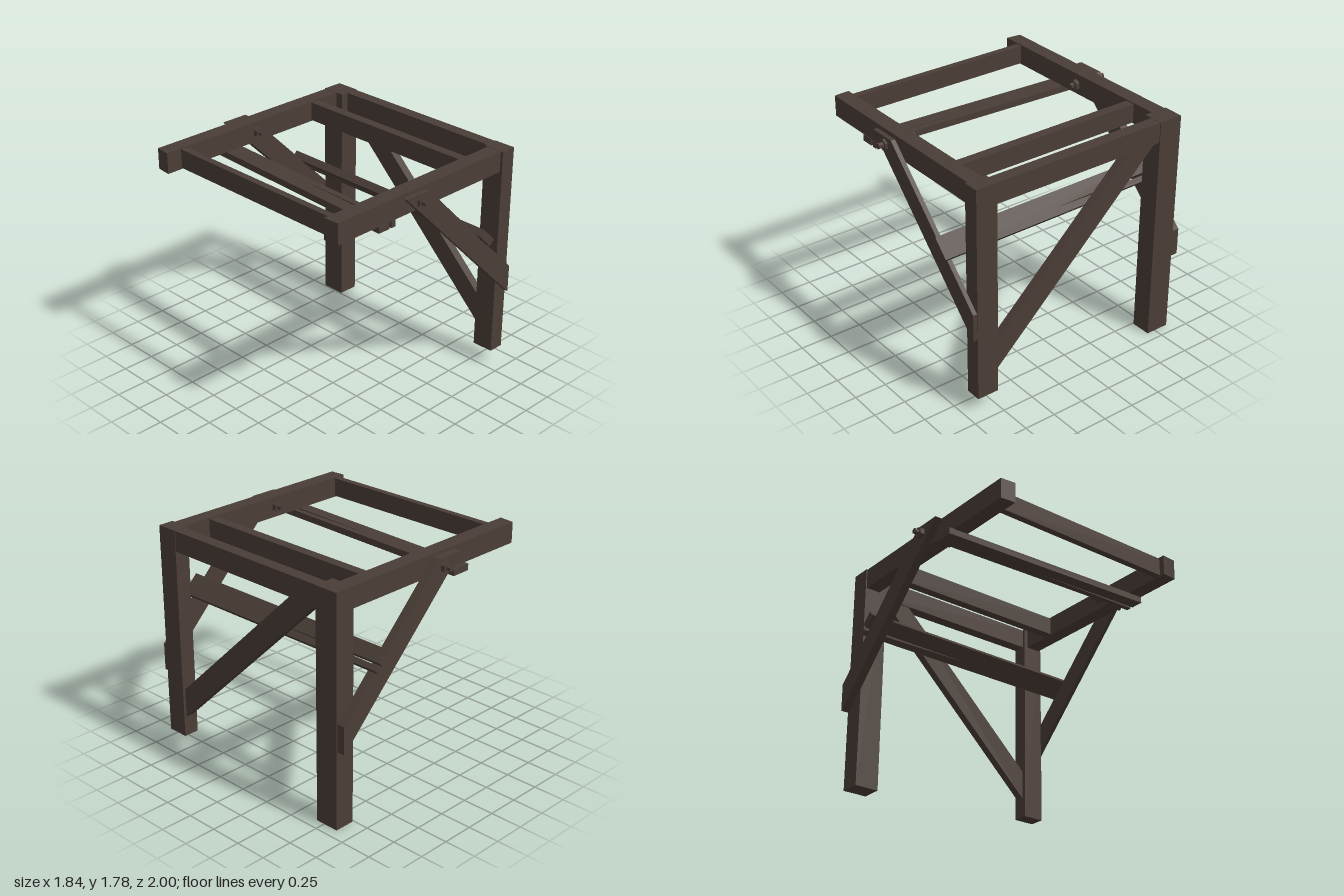
import * as THREE from 'three';

export function createModel() {
  const model = new THREE.Group();
  const wood = new THREE.MeshStandardMaterial({ color: 0x4a3d36 });
  wood.name = 'darkWood';

  function add(name, geometry, parent = model) {
    const mesh = new THREE.Mesh(geometry, wood);
    mesh.name = name;
    parent.add(mesh);
    return mesh;
  }

  // Box given by its limits on each axis
  function beam(name, [x0, x1], [y0, y1], [z0, z1]) {
    const mesh = add(name, new THREE.BoxGeometry(x1 - x0, y1 - y0, z1 - z0));
    mesh.position.set((x0 + x1) / 2, (y0 + y1) / 2, (z0 + z1) / 2);
  }

  // Flat outline with a thickness
  function slab(points, depth) {
    const shape = new THREE.Shape(points.map(([x, y]) => new THREE.Vector2(x, y)));
    return new THREE.ExtrudeGeometry(shape, { depth, bevelEnabled: false });
  }

  // Outline in x and z, hanging down from a given top height
  function plank(name, points, top, thickness, parent) {
    const mesh = add(name, slab(points, thickness), parent);
    mesh.rotation.x = Math.PI / 2;
    mesh.position.y = top;
  }

  // Posts
  beam('frontPost', [0.795, 0.917], [0.12, 1.78], [0.74, 0.91]);
  beam('backPost', [0.76, 0.92], [0, 1.78], [-0.87, -0.68]);

  // Top frame: two long beams with skewed ends, side beam and joists
  plank('frontBeam', [[-0.84, 0.77], [0.9, 0.77], [0.9, 0.89], [-0.832, 0.89]], 1.778, 0.16);
  plank('backBeam', [[-0.91, -0.862], [0.9, -0.862], [0.9, -0.743], [-0.922, -0.743]], 1.778, 0.16);
  beam('sideBeam', [0.82, 0.913], [1.62, 1.778], [-0.8, 0.8]);
  beam('outerJoist', [-0.795, -0.742], [1.625, 1.77], [-0.76, 0.79]);
  beam('innerJoist', [0.492, 0.567], [1.625, 1.77], [-0.76, 0.79]);

  // Diagonal braces on the outer faces of the frame
  const braceOutline = [[-0.24, 1.76], [0.905, 0.617], [0.912, 0.617], [0.912, 0.83], [-0.02, 1.76]];
  add('frontBrace', slab(braceOutline, 0.035)).position.z = 0.907;
  add('backBrace', slab(braceOutline, 0.065)).position.z = -0.934;

  // Diagonal brace between the posts
  const sideBrace = add('sideBrace',
    slab([[0.75, 0.27], [0.75, 0.5], [-0.43, 1.63], [-0.67, 1.63]], 0.065));
  sideBrace.rotation.y = -Math.PI / 2;
  sideBrace.position.x = 0.895;

  // Split plank under the frame
  plank('lowerPlank', [[-0.37, -0.9], [-0.215, -0.9], [-0.295, 0.895], [-0.335, 0.895],
    [-0.31, -0.03], [-0.355, 0.895], [-0.455, 0.895]], 1.62, 0.05);

  // Split plank lying on the sloping braces
  const slope = new THREE.Group();
  slope.name = 'slopingPlankGroup';
  slope.position.set(0.577, 1.2, 0);
  slope.rotation.z = -Math.PI / 4;
  model.add(slope);
  plank('slopingPlank', [[-0.09, -0.965], [0.02, -0.965], [0.03, 0], [0.04, -0.965],
    [0.08, -0.965], [0.09, 0.98], [-0.08, 0.98]], 0.03, 0.06, slope);

  // Bolts: a rod with a hexagonal nut on each side
  function bolt(name, x, y, [z0, z1], nuts) {
    const group = new THREE.Group();
    group.name = name;
    group.position.set(x, y, 0);
    model.add(group);
    const rod = (part, radius, a, b) => {
      const geometry = new THREE.CylinderGeometry(radius, radius, b - a, 6).toNonIndexed();
      geometry.computeVertexNormals();
      const mesh = add(part, geometry, group);
      mesh.rotation.x = Math.PI / 2;
      mesh.position.z = (a + b) / 2;
    };
    rod('boltRod', 0.023, z0, z1);
    for (const [a, b] of nuts) rod('boltNut', 0.042, a, b);
  }
  bolt('frontBolt', -0.098, 1.703, [0.7, 1], [[0.735, 0.775], [0.935, 0.962]]);
  bolt('backBolt', -0.068, 1.693, [-1, -0.677], [[-0.968, -0.93], [-0.75, -0.71]]);

  return model;
}
